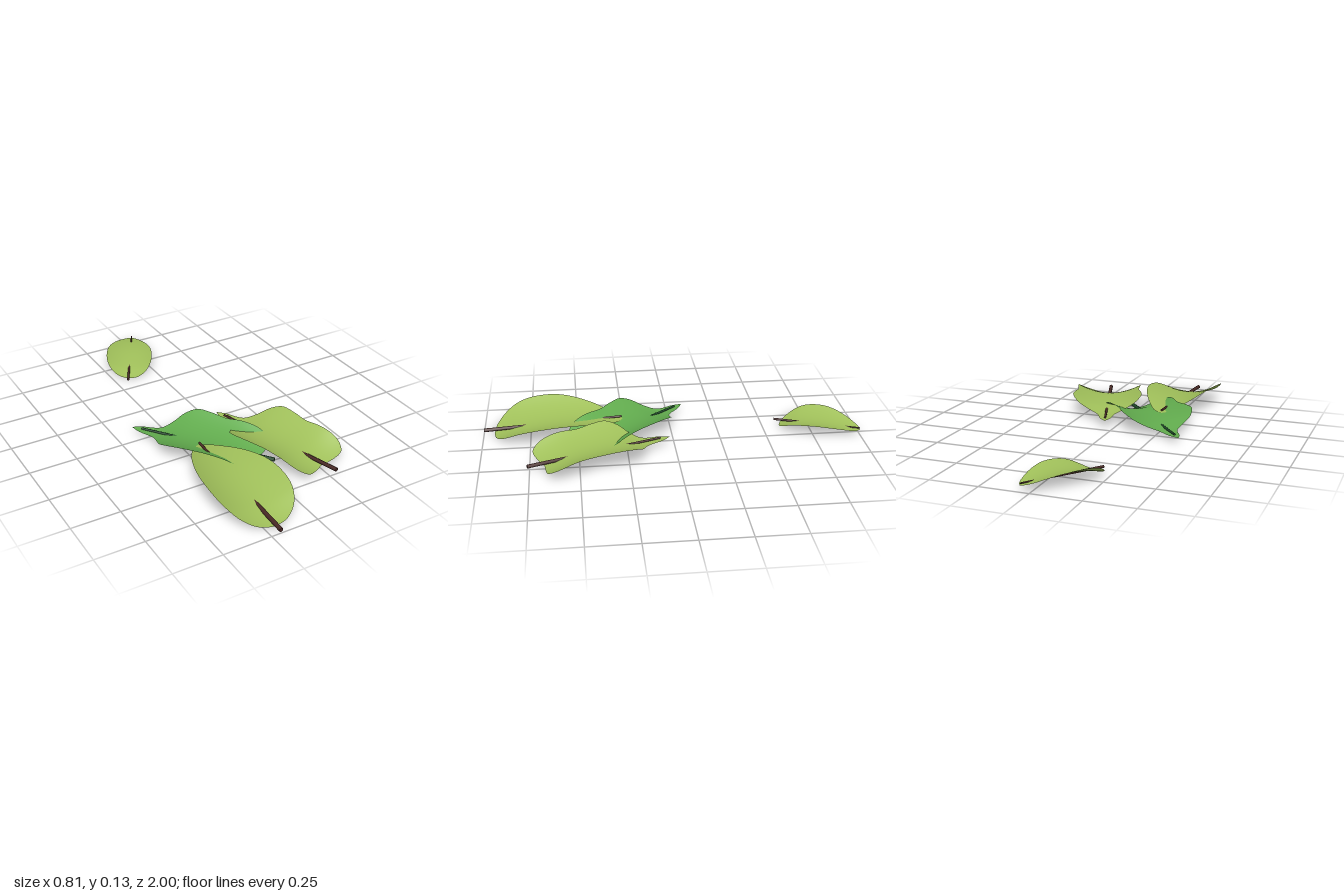
import * as THREE from 'three';

const V2 = (p) => new THREE.Vector2(p[0], p[1]);

// Half outlines as [half width, distance from the stalk end], and rib heights at even steps
const ovalLeaf = {
  outline: [[0, .055], [.08, .07], [.15, .12], [.19, .2], [.2, .31], [.185, .43], [.14, .56], [.08, .67], [.04, .72], [0, .744]],
  rib: [0, .034, .055, .066, .064, .05], ribStart: .055, ribEnd: .745,
  cup: 1.4, tilt: -.075, stemEnds: [.017, .064], stemLength: .74,
};
const lobedLeaf = {
  outline: [[0, .09], [.04, .086], [.117, .067], [.154, .086], [.178, .14], [.18, .235], [.173, .32], [.184, .4],
    [.19, .485], [.158, .548], [.107, .585], [.05, .635], [.026, .725], [0, .775]],
  rib: [0, .033, .042, .04, .025, .03], ribStart: .07, ribEnd: .775,
  cup: 1.55, tilt: 0, stemEnds: [.019, .034], stemLength: .72,
};

// Cupped sheet, swept from the rib out to the outline on both sides
function bladeGeometry(kind) {
  const rib = new THREE.SplineCurve(kind.rib.map((y, i) => new THREE.Vector2(i, y)));
  const height = (r, t) => {
    const u = THREE.MathUtils.clamp((t - kind.ribStart) / (kind.ribEnd - kind.ribStart), 0, 1);
    return Math.max(0, rib.getPoint(u).y + kind.cup * r * r + kind.tilt * r);
  };
  const rows = 60, cols = 16, pos = [], idx = [];
  const edge = new THREE.SplineCurve(kind.outline.map(V2)).getSpacedPoints(rows);
  const base = edge[0].y, tip = edge[rows].y;
  edge.forEach((p, i) => {
    const spine = THREE.MathUtils.clamp(p.y, base, tip);
    for (let j = 0; j <= cols; j++) {
      const s = (j / cols) * 2 - 1;
      const r = s * p.x;
      const t = THREE.MathUtils.lerp(spine, p.y, Math.abs(s));
      pos.push(r, height(r, t), -t);
      if (i < rows && j < cols) {
        const a = i * (cols + 1) + j, b = a + cols + 1;
        idx.push(a, a + 1, b + 1, a, b + 1, b);
      }
    }
  });
  const g = new THREE.BufferGeometry();
  g.setAttribute('position', new THREE.Float32BufferAttribute(pos, 3));
  g.setIndex(idx);
  g.computeVertexNormals();
  return g;
}

// Straight, slightly tapered stalk running under the arched blade
function stemGeometry(kind) {
  const [y0, y1] = kind.stemEnds, len = kind.stemLength;
  const g = new THREE.CylinderGeometry(.006, .011, len, 6);
  g.translate(0, len / 2, 0).rotateX(-Math.PI / 2);
  g.rotateX(Math.atan2(y1 - y0, len)).translate(0, y0, 0);
  return g;
}

export function createModel() {
  const mat = (name, color, extra = {}) => {
    const m = new THREE.MeshStandardMaterial({ color, ...extra });
    m.name = name;
    return m;
  };
  const olive = mat('oliveLeaf', 0xa0c05a, { side: THREE.DoubleSide });
  const green = mat('greenLeaf', 0x62ac4e, { side: THREE.DoubleSide });
  const brown = mat('brownStem', 0x4a2a26);
  const darkGreen = mat('greenStem', 0x1f4a2a);

  const model = new THREE.Group();
  model.name = 'fallenLeaves';

  // name, kind, blade, stalk, stalk end position, turn, scale
  const leaves = [
    ['frontLeaf', ovalLeaf, olive, brown, [-.2, 0, 1], 0, 1],
    ['leftLobedLeaf', lobedLeaf, olive, brown, [.28, .014, .76], .315, 1],
    ['greenLobedLeaf', lobedLeaf, green, darkGreen, [.08, 0, .52], .67, 1],
    ['backLeaf', ovalLeaf, olive, brown, [-.185, 0, -.577], -.5, .645],
  ];
  for (const [name, kind, bladeMat, stemMat, at, turn, scale] of leaves) {
    const leaf = new THREE.Group();
    leaf.name = name;
    const blade = new THREE.Mesh(bladeGeometry(kind), bladeMat);
    blade.name = 'blade';
    const stem = new THREE.Mesh(stemGeometry(kind), stemMat);
    stem.name = 'stem';
    leaf.add(blade, stem);
    leaf.position.set(...at);
    leaf.rotation.y = turn;
    leaf.scale.setScalar(scale);
    model.add(leaf);
  }
  return model;
}
